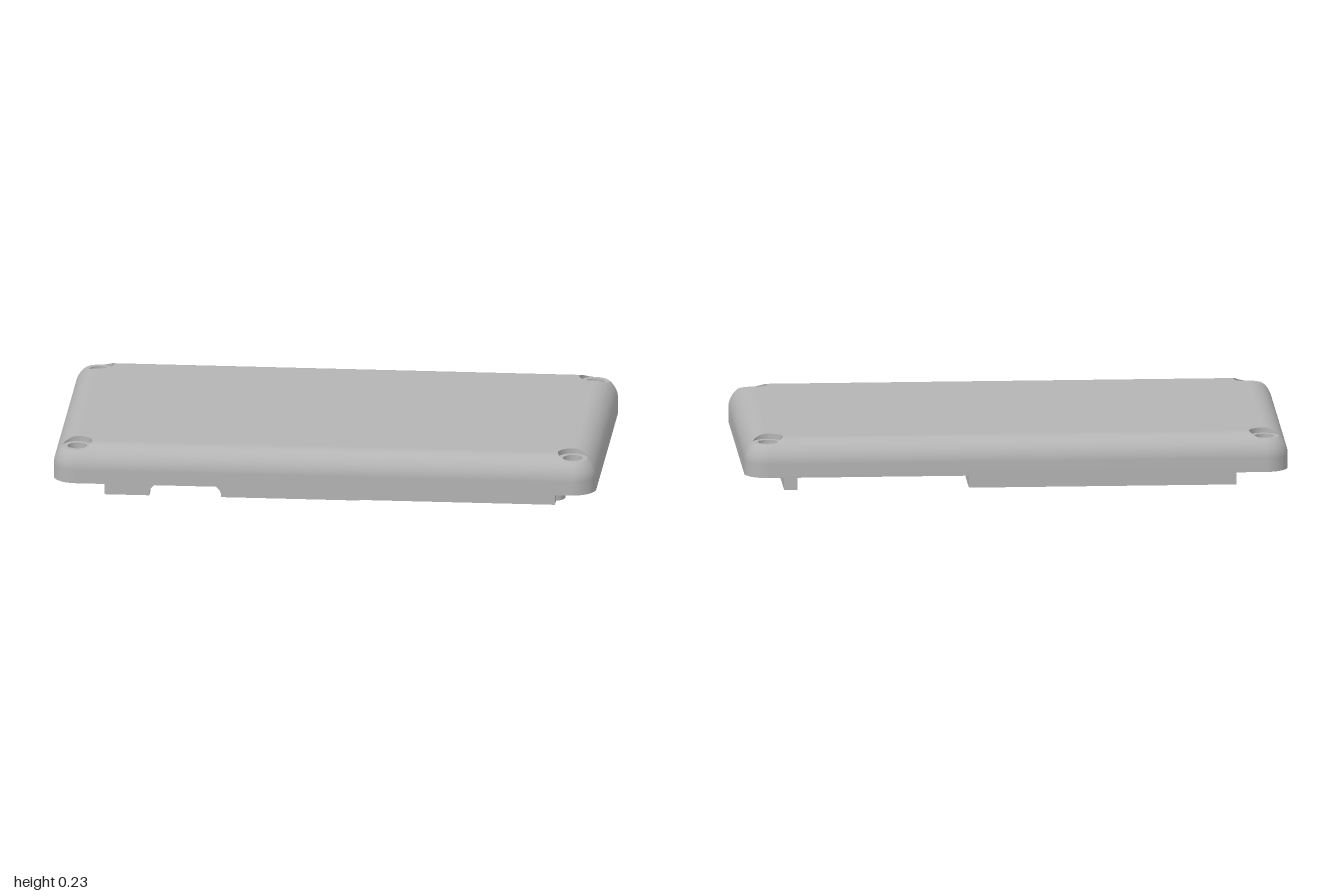
import * as THREE from 'three';

const L = 0.913, C = 0.4755;              // screw centres, also centres of the rounded corners
const R = 0.087;                          // edge rounding
const BASE = 0.09, TOP = 0.228, SHOULDER = TOP - R;
const BORE = 0.055, HOLE = 0.036;         // counterbore and screw hole radii
const FLOOR = SHOULDER + Math.sqrt(R * R - BORE * BORE);
const HALF = Math.PI / 2;
const CORNERS = [[L, C], [L, -C], [-L, -C], [-L, C]];

// Smooth sheet from a rule fn(i, j) -> [x, y, z]
function sheet(nu, nv, fn) {
  const pos = [], idx = [];
  for (let j = 0; j <= nv; j++) for (let i = 0; i <= nu; i++) pos.push(...fn(i, j));
  for (let j = 0; j < nv; j++) for (let i = 0; i < nu; i++) {
    const a = j * (nu + 1) + i, b = a + 1, c = a + nu + 1, d = c + 1;
    idx.push(a, b, d, a, d, c);
  }
  const g = new THREE.BufferGeometry();
  g.setAttribute('position', new THREE.Float32BufferAttribute(pos, 3));
  g.setIndex(idx);
  g.computeVertexNormals();
  return g;
}

// Height of the rounded top surface
function height(x, z) {
  const d = Math.hypot(Math.max(0, Math.abs(x) - L), Math.max(0, Math.abs(z) - C));
  return SHOULDER + Math.sqrt(Math.max(0, R * R - d * d));
}

// Inward-facing round wall from y0 up to the rule top(x, z)
function boreWall(cx, cz, r, y0, top) {
  return sheet(48, 1, (i, j) => {
    const a = (i / 48) * Math.PI * 2, x = cx + r * Math.cos(a), z = cz + r * Math.sin(a);
    return [x, j ? top(x, z) : y0, z];
  });
}

function circlePath(x, y, r) {
  return new THREE.Path().absarc(x, y, r, 0, Math.PI * 2, true);
}

export function createModel() {
  const model = new THREE.Group();
  const grey = new THREE.MeshStandardMaterial({ color: 0xb4b4b4, side: THREE.DoubleSide });
  grey.name = 'grey plastic';
  const add = (name, geometry, parent = model) => {
    const m = new THREE.Mesh(geometry, grey);
    m.name = name;
    parent.add(m);
    return m;
  };

  // --- Lid plate ---
  const lid = new THREE.Group();
  lid.name = 'lid';
  model.add(lid);

  // Edge section: side wall, rounding, then the stretch cut by the counterbores
  const profile = [[R, BASE]];
  const cut = Math.acos(BORE / R);
  for (let i = 0; i <= 12; i++) profile.push([R * Math.cos(cut * i / 12), SHOULDER + R * Math.sin(cut * i / 12)]);
  const cornerProfile = profile.map(([r, y]) => new THREE.Vector2(r, y));
  for (let i = 1; i <= 12; i++) {
    const d = BORE * Math.cos(HALF * i / 12);
    profile.push([d, SHOULDER + Math.sqrt(R * R - d * d)]);
  }

  for (let k = 0; k < 4; k++) {
    const [len, off] = k % 2 ? [C, L] : [L, C];
    const edge = sheet(1, profile.length - 1, (i, j) => {
      const [d, y] = profile[j];
      const end = len - Math.sqrt(Math.max(0, BORE * BORE - d * d));
      return [i ? end : -end, y, off + d];
    });
    add('lidEdge', edge.rotateY(k * HALF), lid);

    const [cx, cz] = CORNERS[k];
    add('lidCorner', new THREE.LatheGeometry(cornerProfile, 16, k * HALF, HALF).translate(cx, 0, cz), lid);
    add('counterboreWall', boreWall(cx, cz, BORE, FLOOR, height), lid);
    add('counterboreFloor', new THREE.RingGeometry(HOLE, BORE, 48).rotateX(-HALF).translate(cx, FLOOR, cz), lid);
    add('screwHole', boreWall(cx, cz, HOLE, BASE, () => FLOOR), lid);
  }

  // Flat top, bitten at its corners by the counterbores
  const top = new THREE.Shape();
  [[L, -C, 2], [L, C, 3], [-L, C, 4], [-L, -C, 1]].forEach(([x, y, q]) =>
    top.absarc(x, y, BORE, q * HALF, (q - 1) * HALF, true));
  add('lidTop', new THREE.ShapeGeometry(top, 24).rotateX(-HALF).translate(0, TOP, 0), lid);

  // Flat underside with screw holes and one blind hole
  const under = new THREE.Shape();
  [[L, -C, 3], [L, C, 0], [-L, C, 1], [-L, -C, 2]].forEach(([x, y, q]) =>
    under.absarc(x, y, R, q * HALF, (q + 1) * HALF, false));
  CORNERS.forEach(([x, z]) => under.holes.push(circlePath(x, z, HOLE)));
  const blind = [-0.85, 0.25, 0.025];
  under.holes.push(circlePath(...blind));
  add('lidUnderside', new THREE.ShapeGeometry(under, 24).rotateX(HALF).translate(0, BASE, 0), lid);
  add('blindHoleWall', boreWall(...blind, BASE, () => 0.15), lid);
  add('blindHoleEnd', new THREE.CircleGeometry(blind[2], 32).rotateX(HALF).translate(blind[0], 0.15, blind[1]), lid);

  // --- Ribs under the lid ---
  const ribs = new THREE.Group();
  ribs.name = 'ribs';
  model.add(ribs);
  const rib = (name, x0, x1, z0, z1) => add(name,
    new THREE.BoxGeometry(x1 - x0, BASE, z1 - z0).translate((x0 + x1) / 2, BASE / 2, (z0 + z1) / 2), ribs);
  rib('leftRib', 0.795, 0.845, -0.345, 0.265);
  rib('middleRib', 0.115, 0.165, -0.345, 0.262);
  rib('middleRibStep', 0.04, 0.115, -0.22, 0.19);
  rib('backRib', -0.82, 0.115, -0.345, -0.297);
  rib('frontLeftRib', 0.12, 0.84, 0.342, 0.392);

  // Front rib with a round-cornered cable notch
  const n0 = -0.655, n1 = -0.39, nh = 0.045, nr = 0.04;
  const front = new THREE.Shape();
  front.moveTo(-0.82, 0);
  front.lineTo(n0, 0);
  front.lineTo(n0, nh - nr);
  front.absarc(n0 + nr, nh - nr, nr, Math.PI, HALF, true);
  front.absarc(n1 - nr, nh - nr, nr, HALF, 0, true);
  front.lineTo(n1, 0);
  front.lineTo(0.12, 0);
  front.lineTo(0.12, BASE);
  front.lineTo(-0.82, BASE);
  add('frontRib', new THREE.ExtrudeGeometry(front, { depth: 0.05, bevelEnabled: false, curveSegments: 10 })
    .translate(0, 0, 0.35), ribs);

  // Hollow screw bosses
  for (const x of [0.823, 0.148]) {
    const ring = new THREE.Shape().absarc(x, 0.297, 0.048, 0, Math.PI * 2, false);
    ring.holes.push(circlePath(x, 0.297, 0.024));
    add('screwBoss', new THREE.ExtrudeGeometry(ring, { depth: BASE, bevelEnabled: false, curveSegments: 32 })
      .rotateX(HALF).translate(0, BASE, 0), ribs);
  }
  return model;
}
